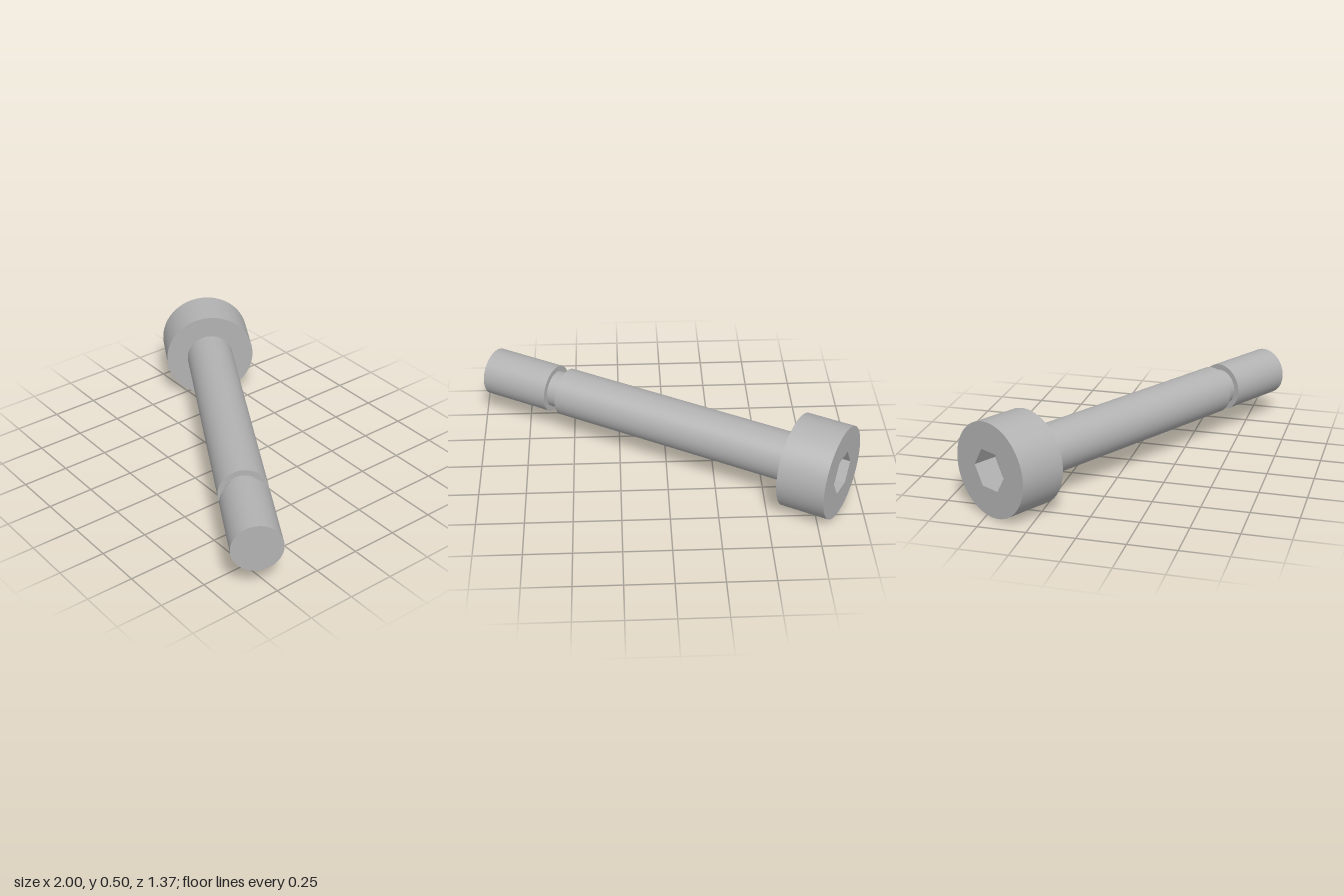
import * as THREE from 'three';
import { toCreasedNormals } from 'three/addons/utils/BufferGeometryUtils.js';

const SIDES = 72;
const HEAD_R = 0.248, HEAD_LEN = 0.257;
const SOCKET_R = 0.112, SOCKET_DEPTH = 0.13;
const SHAFT_R = 0.13, GROOVE_R = 0.1;
const GROOVE_START = 1.629, TIP_START = 1.698, LENGTH = 2.091;

export function createModel() {
  const steel = new THREE.MeshStandardMaterial({ color: 0xb2b2b2 });
  steel.name = 'steel grey';

  // The bolt is built along +z from the head's outer face, then turned
  const bolt = new THREE.Group();
  bolt.name = 'shoulderBolt';

  const add = (name, geometry) => {
    const mesh = new THREE.Mesh(geometry, steel);
    mesh.name = name;
    bolt.add(mesh);
  };

  // Solid round (or hexagonal) bar between two stations on the axis
  const bar = (name, radius, from, to, sides = SIDES) => {
    const g = new THREE.CylinderGeometry(radius, radius, to - from, sides);
    g.rotateX(Math.PI / 2);
    g.translate(0, 0, (from + to) / 2);
    add(name, g);
  };

  // Cylindrical head with a hexagonal hole, corners on the horizontal
  const outline = new THREE.Shape();
  outline.absarc(0, 0, HEAD_R, 0, Math.PI * 2, false);
  const corners = [];
  for (let i = 0; i < 6; i++) {
    const a = (i * Math.PI) / 3;
    corners.push(new THREE.Vector2(SOCKET_R * Math.cos(a), SOCKET_R * Math.sin(a)));
  }
  outline.holes.push(new THREE.Path(corners));
  const head = new THREE.ExtrudeGeometry(outline, {
    depth: HEAD_LEN, bevelEnabled: false, curveSegments: SIDES,
  });
  add('head', toCreasedNormals(head, 0.5));

  // Socket floor: a hexagonal plug filling the inner end of the hole
  const plug = new THREE.ExtrudeGeometry(new THREE.Shape(corners), {
    depth: HEAD_LEN - SOCKET_DEPTH, bevelEnabled: false,
  });
  plug.translate(0, 0, SOCKET_DEPTH);
  add('socketFloor', plug);

  // Shaft, relief groove and end section
  bar('shaft', SHAFT_R, HEAD_LEN, GROOVE_START);
  bar('groove', GROOVE_R, GROOVE_START, TIP_START);
  bar('endSection', SHAFT_R, TIP_START, LENGTH);

  // Lay the bolt diagonally, resting on the head's rim
  bolt.rotation.y = Math.PI / 3;
  bolt.position.set(-0.876, HEAD_R, -0.472);

  const model = new THREE.Group();
  model.name = 'model';
  model.add(bolt);
  return model;
}
